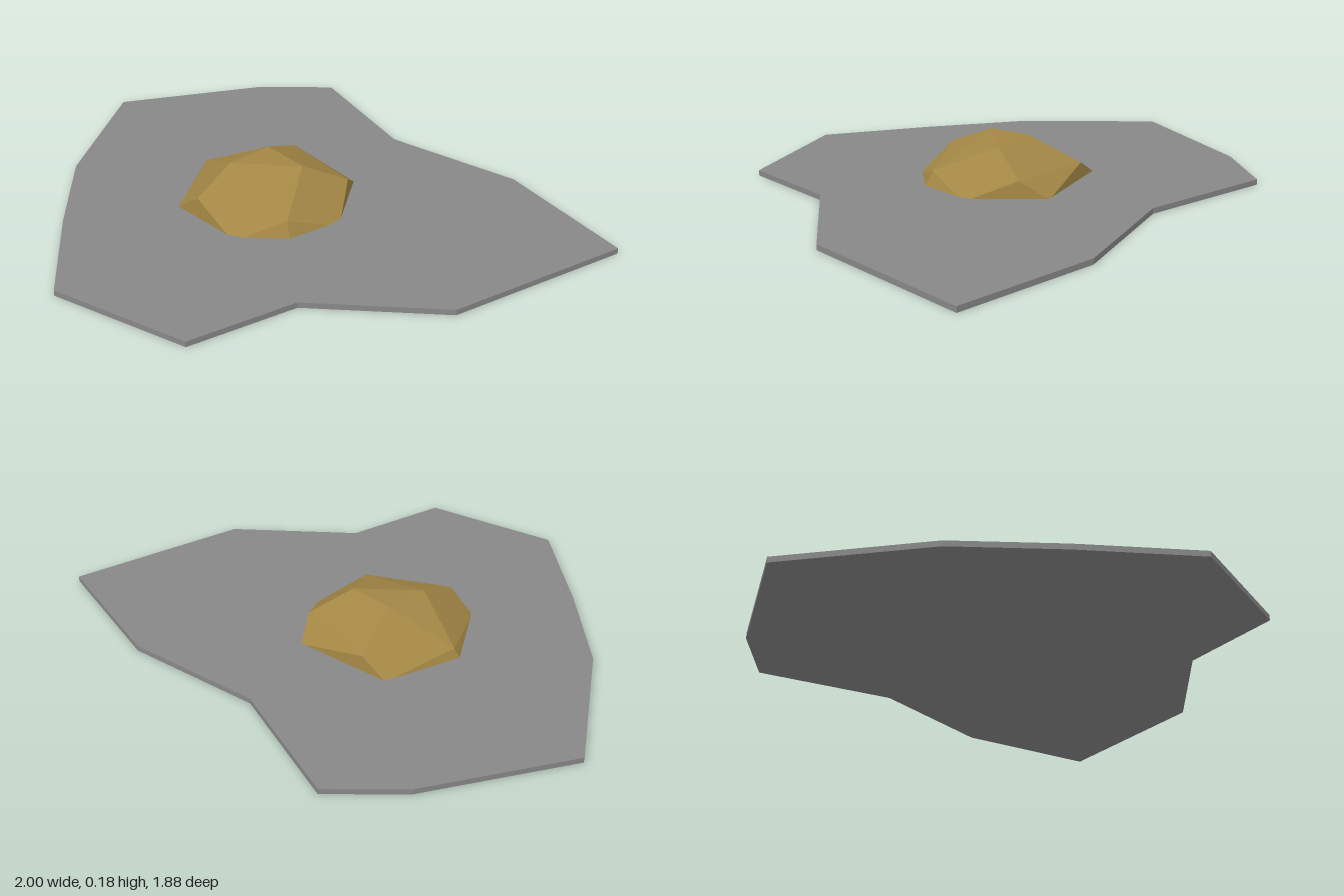
import * as THREE from 'three';
import { ConvexGeometry } from 'three/addons/geometries/ConvexGeometry.js';

const THICKNESS = 0.022;

export function createModel() {
  const model = new THREE.Group();
  const stone = new THREE.MeshStandardMaterial({ color: 0x888888 });
  stone.name = 'greyStone';
  const ochre = new THREE.MeshStandardMaterial({ color: 0xa28644 });
  ochre.name = 'ochreRock';
  ochre.flatShading = true;

  // Irregular flat slab, outline given as x, z
  const outline = [
    [-0.54, -0.94], [0.08, -0.93], [0.385, -0.84], [0.495, -0.29],
    [0.84, 0.16], [1, 0.73], [0.295, 0.935], [-0.21, 0.75],
    [-0.62, 0.868], [-1, 0.457], [-0.915, 0], [-0.815, -0.41],
  ];
  const shape = new THREE.Shape(outline.map(([x, z]) => new THREE.Vector2(x, -z)));
  const slabGeometry = new THREE.ExtrudeGeometry(shape, { depth: THICKNESS, bevelEnabled: false });
  slabGeometry.rotateX(-Math.PI / 2);
  const slab = new THREE.Mesh(slabGeometry, stone);
  slab.name = 'slab';
  model.add(slab);

  // Faceted boulder half sunk in the slab: crown, shoulder and foot corners
  const crown = [[-0.27, 0.175, 0], [-0.01, 0.173, 0.095], [-0.1, 0.18, -0.08]];
  const shoulder = [
    [-0.42, 0.1, 0.105], [0.17, 0.09, 0.1], [-0.13, 0.08, 0.32],
    [0.05, 0.085, -0.235], [-0.31, 0.06, -0.25],
  ];
  const foot = [
    [-0.48, 0.01], [-0.33, -0.265], [-0.01, -0.327], [0.228, 0],
    [0.09, 0.27], [0.05, 0.295], [-0.13, 0.352], [-0.3, 0.295], [-0.34, 0.27],
  ].map(([x, z]) => [x, THICKNESS - 0.004, z]);
  const corners = [...crown, ...shoulder, ...foot].map((p) => new THREE.Vector3(...p));
  const boulder = new THREE.Mesh(new ConvexGeometry(corners), ochre);
  boulder.name = 'boulder';
  model.add(boulder);

  return model;
}
